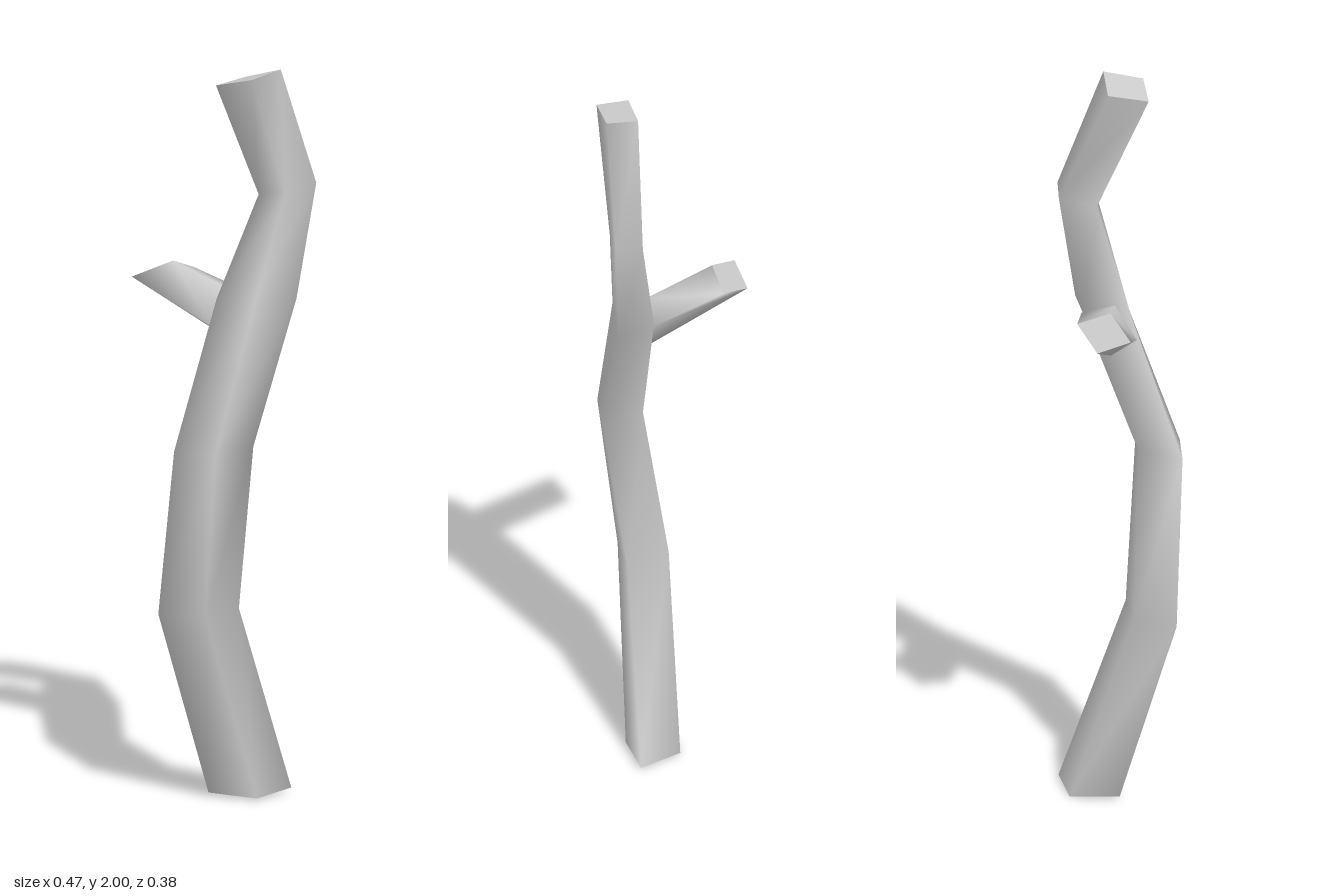
import * as THREE from 'three';

const material = new THREE.MeshStandardMaterial({ color: 0xcccccc });

// Skins a list of four-cornered rings: smooth sides, crisp flat ends.
function limb(name, rings, capStart) {
  const n = 4;
  const positions = rings.flat(2);
  const index = [];
  for (let r = 0; r < rings.length - 1; r++) {
    for (let i = 0; i < n; i++) {
      const j = (i + 1) % n;
      const a = r * n + i, b = r * n + j;
      index.push(a, b, b + n, a, b + n, a + n);
    }
  }
  const addCap = (ring) => {
    const s = positions.length / 3;
    positions.push(...ring.flat());
    index.push(s, s + 1, s + 2, s, s + 2, s + 3);
  };
  addCap(rings[rings.length - 1]);
  if (capStart) addCap([...rings[0]].reverse());

  const geometry = new THREE.BufferGeometry();
  geometry.setAttribute('position', new THREE.Float32BufferAttribute(positions, 3));
  geometry.setIndex(index);
  geometry.computeVertexNormals();
  const mesh = new THREE.Mesh(geometry, material);
  mesh.name = name;
  return mesh;
}

export function createModel() {
  const group = new THREE.Group();
  group.name = 'stick';

  // Crooked main stem, corners in order left, front, right, back
  group.add(limb('stem', [
    [[-0.05, 0.01, -0.01], [0.07, 0.005, 0.055], [0.175, 0.01, -0.032], [0.055, 0, -0.095]],
    [[-0.195, 0.52, 0.065], [-0.08, 0.525, 0.14], [0.02, 0.53, 0.07], [-0.095, 0.525, 0]],
    [[-0.16, 0.975, 0.115], [-0.06, 0.98, 0.19], [0.05, 0.985, 0.13], [-0.05, 0.98, 0.055]],
    [[-0.035, 1.37, 0.04], [0.065, 1.39, 0.095], [0.18, 1.36, 0.03], [0.08, 1.36, -0.03]],
    [[0.08, 1.645, 0.02], [0.145, 1.66, 0.07], [0.235, 1.67, 0.015], [0.17, 1.655, -0.035]],
    [[-0.045, 1.965, 0.095], [0.043, 1.99, 0.15], [0.13, 2, 0.085], [0.045, 1.97, 0.03]],
  ], true));

  // Short broken side twig, its root sunk into the stem
  group.add(limb('sideTwig', [
    [[-0.045, 1.295, 0.055], [0.01, 1.385, 0.025], [0.085, 1.355, -0.028], [0.01, 1.245, 0.01]],
    [[-0.238, 1.395, -0.13], [-0.13, 1.44, -0.11], [-0.065, 1.405, -0.17], [-0.175, 1.36, -0.193]],
  ], false));

  return group;
}
